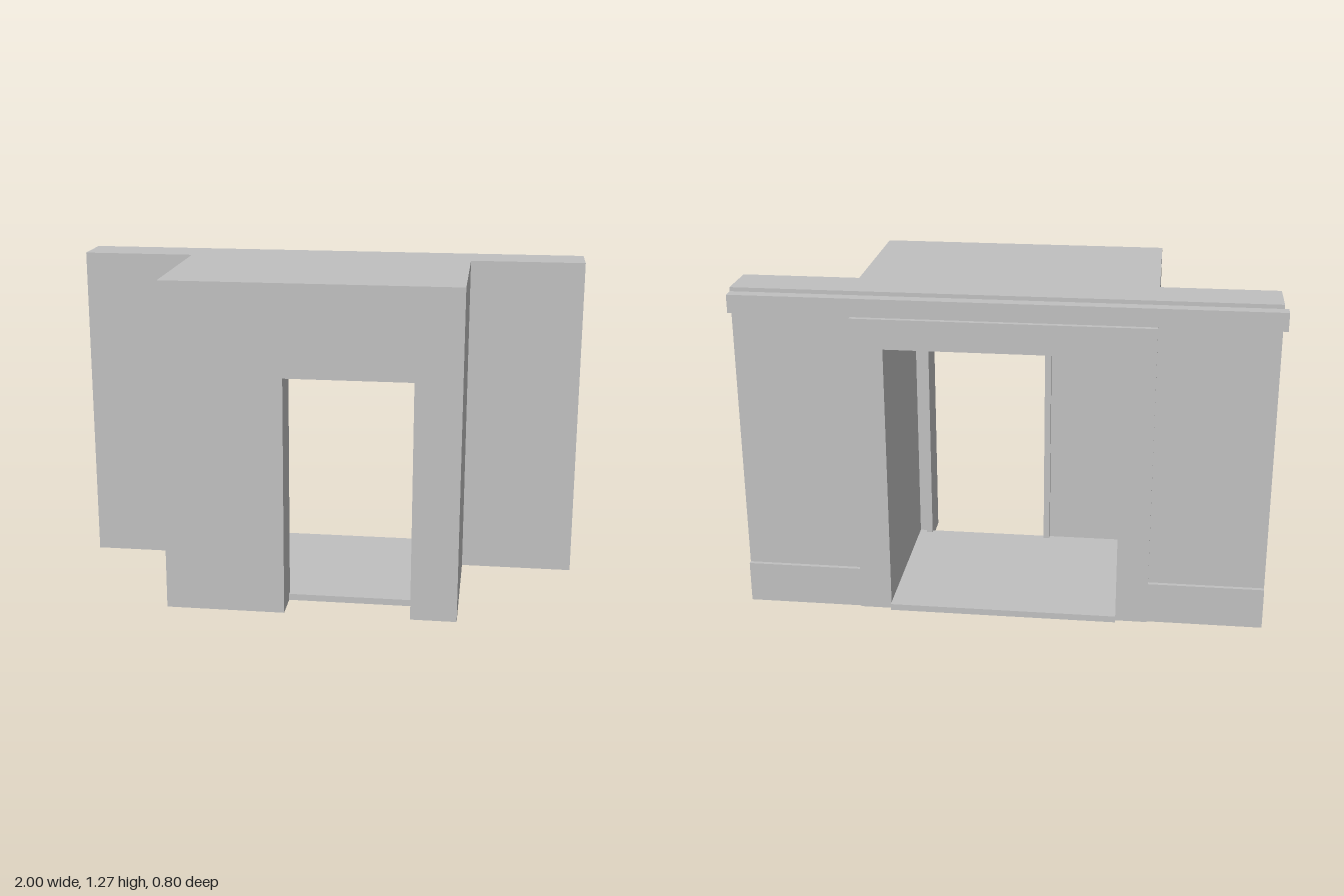
import * as THREE from 'three';

export function createModel() {
  const root = new THREE.Group();
  root.name = 'doorwayAlcove';
  const plaster = new THREE.MeshStandardMaterial({ color: 0xc0c0c0 });
  plaster.name = 'plainGrey';

  const add = (name, geometry) => {
    const mesh = new THREE.Mesh(geometry, plaster);
    mesh.name = name;
    root.add(mesh);
    return mesh;
  };
  // Box given by its limits on each axis
  const span = (name, x0, x1, y0, y1, z0, z1) =>
    add(name, new THREE.BoxGeometry(x1 - x0, y1 - y0, z1 - z0)
      .translate((x0 + x1) / 2, (y0 + y1) / 2, (z0 + z1) / 2));
  // Floor plan of [x, z] points raised from y0 to y1
  const plan = (name, points, y0, y1) => {
    const shape = new THREE.Shape(points.map(([x, z]) => new THREE.Vector2(x, -z)));
    const geometry = new THREE.ExtrudeGeometry(shape, { depth: y1 - y0, bevelEnabled: false });
    return add(name, geometry.rotateX(-Math.PI / 2).translate(0, y0, 0));
  };

  const H = 1.27, ceiling = 1.2;
  const back = -0.353, wing = -0.177, inner = 0.275, front = 0.4;
  const doorTop = 0.92, archTop = 1.06;
  // Outer wall end, alcove outside, alcove inside and door edge for each side
  const sides = [
    { label: 'left', end: 1, out: 0.56, room: 0.44, door: 0.385, s: 1 },
    { label: 'right', end: -0.985, out: -0.55, room: -0.43, door: -0.095, s: -1 },
  ];
  const [L, R] = sides;

  for (const { label, end, out, room, door, s } of sides) {
    // Wing, alcove side and front wall return
    plan(label + 'Wall', [[room, back], [end, back], [end, wing], [out, wing],
      [out, front], [door, front], [door, inner], [room, inner]], 0, ceiling);
    // Skirting on the back of the wing
    span(label + 'Skirting', Math.min(out, end), Math.max(out, end), 0, 0.16, -0.369, back);
    // Trim beside the small doorway, inside the alcove
    const edge = door + s * 0.025;
    span(label + 'DoorTrim', Math.min(door, edge), Math.max(door, edge), 0.022, doorTop, inner - 0.02, inner);
  }

  // Roof over wings and alcove
  plan('roof', [[R.end, back], [L.end, back], [L.end, wing], [L.out, wing],
    [L.out, front], [R.out, front], [R.out, wing], [R.end, wing]], ceiling, H);
  // Walls above the two openings
  span('doorLintel', R.door, L.door, doorTop, ceiling, inner, front);
  span('openingLintel', R.room, L.room, archTop, ceiling, back, wing);
  // Floor with projecting sill
  span('floor', R.room, L.room, 0, 0.025, -0.391, inner);

  // Flat casing around the wide opening
  const casing = new THREE.Shape([[R.out, 0], [R.room, 0], [R.room, archTop], [L.room, archTop],
    [L.room, 0], [L.out, 0], [L.out, 1.173], [R.out, 1.173]].map(([x, y]) => new THREE.Vector2(x, y)));
  add('openingCasing', new THREE.ExtrudeGeometry(casing, { depth: 0.022, bevelEnabled: false })
    .translate(0, 0, -0.375));

  // Rails above the openings
  span('topRail', -1, 1, 1.187, 1.255, -0.4, back);
  span('doorHeadRail', R.door - 0.04, L.door + 0.04, doorTop + 0.002, 0.985, inner - 0.04, inner);

  return root;
}
